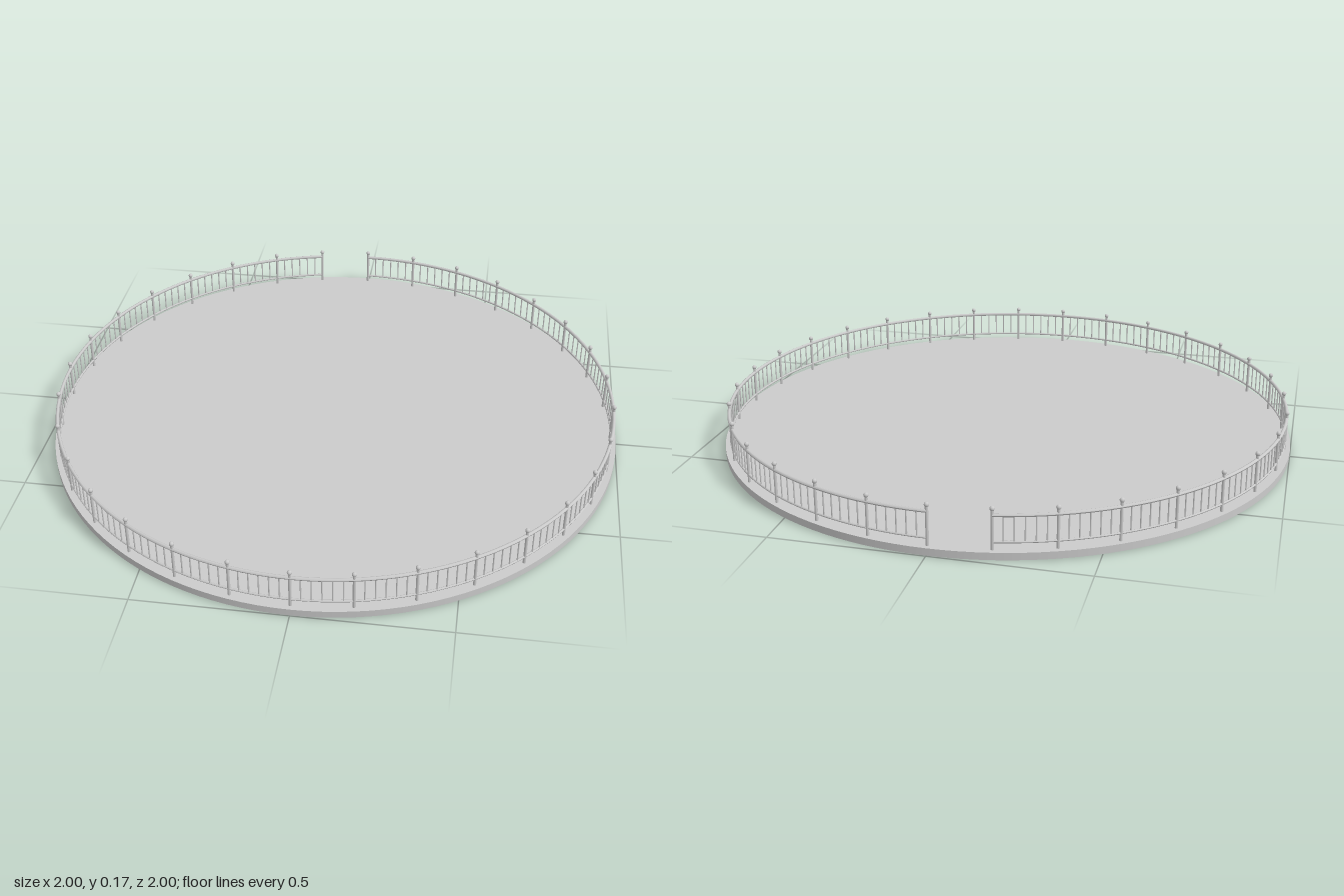
import * as THREE from 'three';

const material = new THREE.MeshStandardMaterial({ color: 0xcccccc });
const RADIUS = 0.98;            // fence radius
const BAYS = 32;                // one of these is left open as the entrance
const STEP = (Math.PI * 2) / BAYS;
const OPEN_BAY = BAYS / 2;      // bay that starts at the back centre
const BARS = 5;                 // thin bars per bay

function part(parent, name, geometry) {
  const mesh = new THREE.Mesh(geometry, material);
  mesh.name = name;
  parent.add(mesh);
  return mesh;
}

// Places an object on the fence circle; angle 0 is the front
function onCircle(object, angle, y) {
  object.position.set(RADIUS * Math.sin(angle), y, RADIUS * Math.cos(angle));
  object.rotation.y = angle;
}

// Round rail swept around the circle, leaving the entrance open
function railGeometry(y, r) {
  const profile = [];
  for (let i = 0; i <= 8; i++) {
    const a = (i / 8) * Math.PI * 2;
    profile.push(new THREE.Vector2(RADIUS + r * Math.cos(a), y + r * Math.sin(a)));
  }
  return new THREE.LatheGeometry(profile, (BAYS - 1) * 4, (OPEN_BAY + 1) * STEP, (BAYS - 1) * STEP);
}

export function createModel() {
  const model = new THREE.Group();
  model.name = 'fencedPlatform';

  // Round floor slab
  part(model, 'floor', new THREE.CylinderGeometry(1, 1, 0.024, 128)).position.y = 0.014;

  const fence = new THREE.Group();
  fence.name = 'fence';
  model.add(fence);

  // Handrail and lower rail
  part(fence, 'topRail', railGeometry(0.137, 0.006));
  part(fence, 'bottomRail', railGeometry(0.051, 0.004));

  // Posts with ball caps, passing through the floor
  const postGeometry = new THREE.CylinderGeometry(0.005, 0.005, 0.155, 10);
  const capGeometry = new THREE.SphereGeometry(0.008, 12, 8);
  const barGeometry = new THREE.CylinderGeometry(0.0025, 0.0025, 0.088, 6);

  for (let bay = 0; bay < BAYS; bay++) {
    const angle = bay * STEP;
    onCircle(part(fence, 'post', postGeometry), angle, 0.0775);
    onCircle(part(fence, 'postCap', capGeometry), angle, 0.158);

    // Thin upright bars between the rails
    if (bay === OPEN_BAY) continue;
    for (let i = 1; i <= BARS; i++) {
      onCircle(part(fence, 'bar', barGeometry), angle + (i / (BARS + 1)) * STEP, 0.093);
    }
  }
  return model;
}
